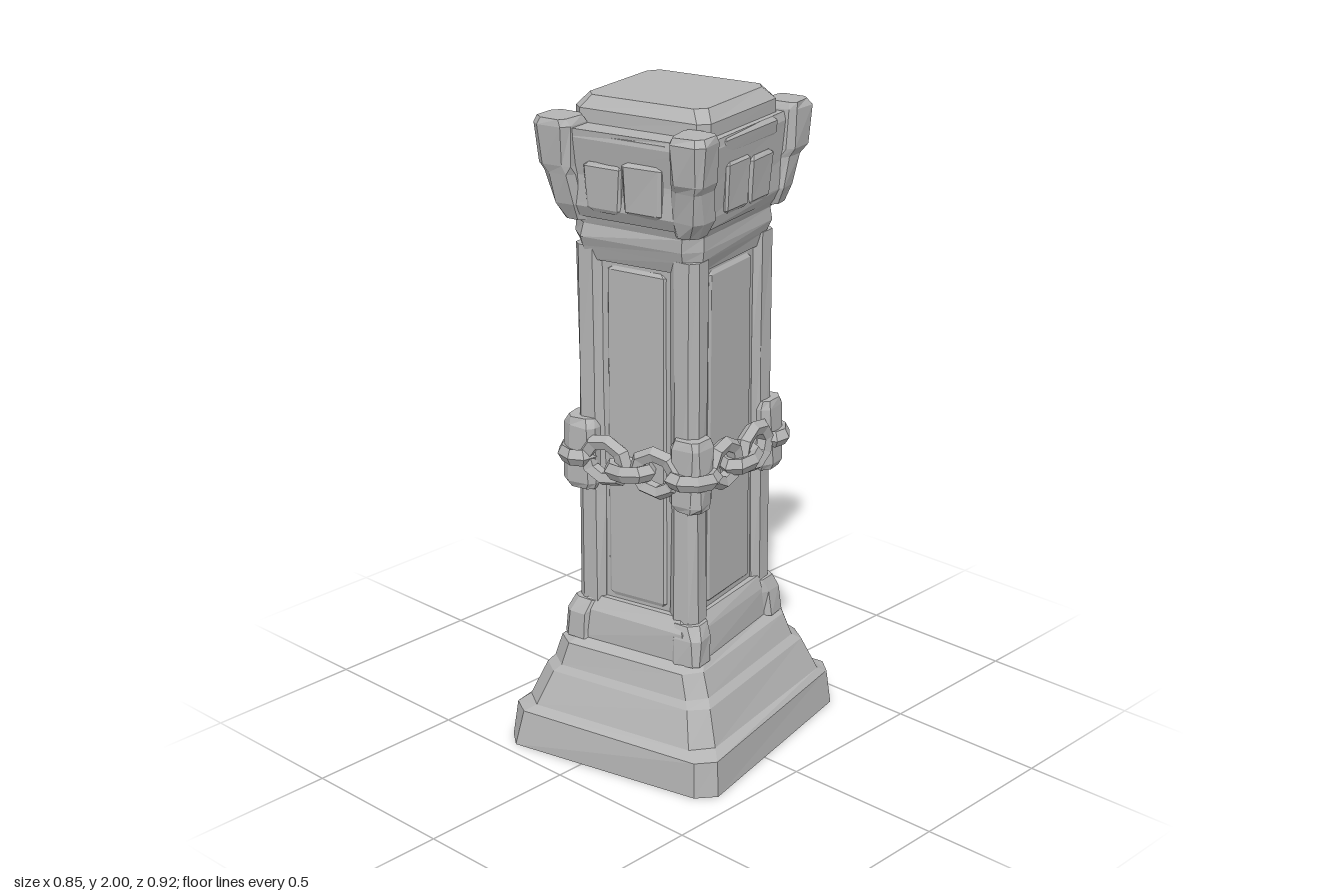
import * as THREE from 'three';

export function createModel() {
  const stone = new THREE.MeshStandardMaterial({ color: 0xb4b4b4, flatShading: true, side: THREE.DoubleSide });
  stone.name = 'grey stone';

  let seed = 7;
  const rand = () => (seed = (seed * 16807) % 2147483647) / 2147483647 - 0.5;

  const model = new THREE.Group();
  model.name = 'stonePillar';
  const pillar = new THREE.Group();
  pillar.name = 'pillar';
  pillar.rotation.y = 0.2;
  model.add(pillar);

  // Stack of chamfered rectangles: each ring is [y, halfX, halfZ, chamfer, offsetX, offsetZ]
  function loft(name, rings, { rough = 0, bottom = true, top = true } = {}) {
    const loops = rings.map(([y, hx, hz, c, ox = 0, oz = 0]) =>
      [[-hx + c, hz], [hx - c, hz], [hx, hz - c], [hx, c - hz],
        [hx - c, -hz], [c - hx, -hz], [-hx, c - hz], [-hx, hz - c]]
        .map(([x, z]) => [x + ox + rand() * rough, y, z + oz + rand() * rough]));
    const pos = [];
    const tri = (a, b, c) => pos.push(...a, ...b, ...c);
    for (let i = 0; i + 1 < loops.length; i++) {
      const lo = loops[i], hi = loops[i + 1];
      for (let k = 0; k < 8; k++) {
        const n = (k + 1) % 8;
        tri(lo[k], lo[n], hi[n]);
        tri(lo[k], hi[n], hi[k]);
      }
    }
    const first = loops[0], last = loops[loops.length - 1];
    for (let k = 1; k < 7; k++) {
      if (bottom) tri(first[0], first[k + 1], first[k]);
      if (top) tri(last[0], last[k], last[k + 1]);
    }
    const geo = new THREE.BufferGeometry();
    geo.setAttribute('position', new THREE.Float32BufferAttribute(pos, 3));
    geo.computeVertexNormals();
    const mesh = new THREE.Mesh(geo, stone);
    mesh.name = name;
    pillar.add(mesh);
    return mesh;
  }

  // Stepped plinth, hollow underneath
  loft('steppedBase', [
    [0, 0.365, 0.4, 0.05], [0.11, 0.355, 0.39, 0.05], [0.13, 0.33, 0.362, 0.055],
    [0.235, 0.292, 0.322, 0.05], [0.255, 0.272, 0.302, 0.05], [0.325, 0.25, 0.28, 0.045],
    [0.345, 0.225, 0.25, 0.04], [0.435, 0.222, 0.247, 0.04], [0.475, 0.2, 0.222, 0.04],
  ], { rough: 0.012, bottom: false });

  // Shaft core and neck moulding
  loft('shaftCore', [[0.46, 0.183, 0.203, 0.03], [1.56, 0.183, 0.203, 0.03]]);
  loft('neck', [
    [1.53, 0.19, 0.21, 0.03], [1.57, 0.205, 0.225, 0.04], [1.6, 0.215, 0.236, 0.045],
    [1.64, 0.212, 0.232, 0.045], [1.67, 0.222, 0.245, 0.04],
  ], { rough: 0.01 });

  // Capital and its bevelled top slab
  loft('capital', [
    [1.665, 0.222, 0.245, 0.04], [1.7, 0.235, 0.262, 0.04], [1.79, 0.238, 0.267, 0.04],
    [1.9, 0.25, 0.286, 0.04], [1.925, 0.245, 0.28, 0.04],
  ], { rough: 0.012 });
  loft('topSlab', [
    [1.91, 0.222, 0.208, 0.03], [1.965, 0.222, 0.208, 0.03], [2, 0.195, 0.18, 0.03],
  ], { rough: 0.005 }).position.x = 0.004;

  // Corner posts, chain clamps, foot blocks, and horns of the capital
  for (const sx of [-1, 1]) for (const sz of [-1, 1]) {
    const at = (y, h, c, x, z) => [y, h, h, c, sx * x, sz * z];
    loft('cornerPost', [
      at(0.46, 0.045, 0.02, 0.16, 0.18), at(0.8, 0.045, 0.02, 0.16, 0.18),
      at(1.2, 0.044, 0.022, 0.16, 0.18), at(1.57, 0.045, 0.02, 0.16, 0.18),
    ], { rough: 0.008 });
    loft('chainClamp', [
      at(0.825, 0.045, 0.02, 0.182, 0.202), at(0.845, 0.054, 0.022, 0.182, 0.202),
      at(1.02, 0.054, 0.022, 0.182, 0.202), at(1.045, 0.045, 0.02, 0.182, 0.202),
    ], { rough: 0.012 });
    loft('footBlock', [
      at(0.34, 0.05, 0.02, 0.187, 0.21), at(0.42, 0.05, 0.02, 0.184, 0.206),
      at(0.46, 0.045, 0.02, 0.17, 0.19),
    ], { rough: 0.01 });
    loft('capitalHorn', [
      at(1.65, 0.04, 0.02, 0.185, 0.21), at(1.7, 0.05, 0.02, 0.195, 0.222),
      at(1.79, 0.05, 0.02, 0.21, 0.24), at(1.815, 0.054, 0.018, 0.218, 0.25),
      at(1.93, 0.058, 0.02, 0.221, 0.255), at(1.95, 0.05, 0.018, 0.221, 0.255),
    ], { rough: 0.012 });
  }

  // Raised panels and carved capital stones, on each of the four faces
  function facePlate(name, side, u, halfW, y0, y1, d0, d1, skew = 0) {
    const alongZ = side % 2 === 1;
    const sign = side < 2 ? 1 : -1;
    const b = 0.012;
    const ring = (y, w, d, du) => {
      const c = sign * d, t = u + du;
      return alongZ ? [y, 0.02, w, 0.008, c, t] : [y, w, 0.02, 0.008, t, c];
    };
    loft(name, [
      ring(y0, halfW - b, d0 - 0.01, 0), ring(y0 + b, halfW, d0, 0),
      ring(y1 - b, halfW + skew, d1, 0), ring(y1, halfW - b + skew, d1 - 0.01, 0),
    ], { rough: 0.006 });
  }
  for (let side = 0; side < 4; side++) {
    const face = side % 2 ? 0.183 : 0.203;
    const cap = side % 2 ? 0.237 : 0.264;
    const w = side % 2 ? 0.118 : 0.1;
    facePlate('shaftPanel', side, 0, w, 0.485, 1.52, face - 0.012, face - 0.012);
    facePlate('capitalStone', side, -0.068, 0.058, 1.69, 1.835, cap - 0.012, cap - 0.004, 0.006);
    facePlate('capitalStone', side, 0.062, 0.06, 1.695, 1.85, cap - 0.01, cap - 0.002, 0.004);
    facePlate('capitalRim', side, 0, 0.15, 1.865, 1.925, cap - 0.006, cap - 0.004);
  }

  // Chain: upright rings and flat links alternating, with a flat link on every corner
  const chain = new THREE.Group();
  chain.name = 'chain';
  pillar.add(chain);
  const ringGeo = new THREE.TorusGeometry(0.058, 0.024, 5, 8).scale(1.2, 1, 1);
  const flatGeo = new THREE.TorusGeometry(0.05, 0.023, 5, 8).rotateX(Math.PI / 2).scale(1.2, 1.15, 0.85);
  function link(geo, name, x, y, z, turn, roll) {
    const m = new THREE.Mesh(geo, stone);
    m.name = name;
    m.position.set(x, y, z);
    m.rotation.set(0, turn, roll);
    chain.add(m);
  }
  for (let side = 0; side < 4; side++) {
    const turn = side * Math.PI / 2;
    const odd = side % 2;
    const d = odd ? 0.222 : 0.242;
    const half = odd ? 0.22 : 0.2;
    const place = (u, out) => [
      u * Math.cos(turn) + out * Math.sin(turn),
      -u * Math.sin(turn) + out * Math.cos(turn),
    ];
    for (const s of [-1, 1]) {
      const [x, z] = place(s * 0.088, d);
      link(ringGeo, 'uprightLink', x, 0.93 + rand() * 0.015, z, turn, s * 0.15);
    }
    const [mx, mz] = place(0, d + 0.005);
    link(flatGeo, 'flatLink', mx, 0.922, mz, turn, 0.08);
    const [cx, cz] = place(half, odd ? 0.2 : 0.22);
    link(flatGeo, 'cornerLink', cx, 0.928, cz, turn + Math.PI / 4, rand() * 0.12);
  }

  return model;
}
